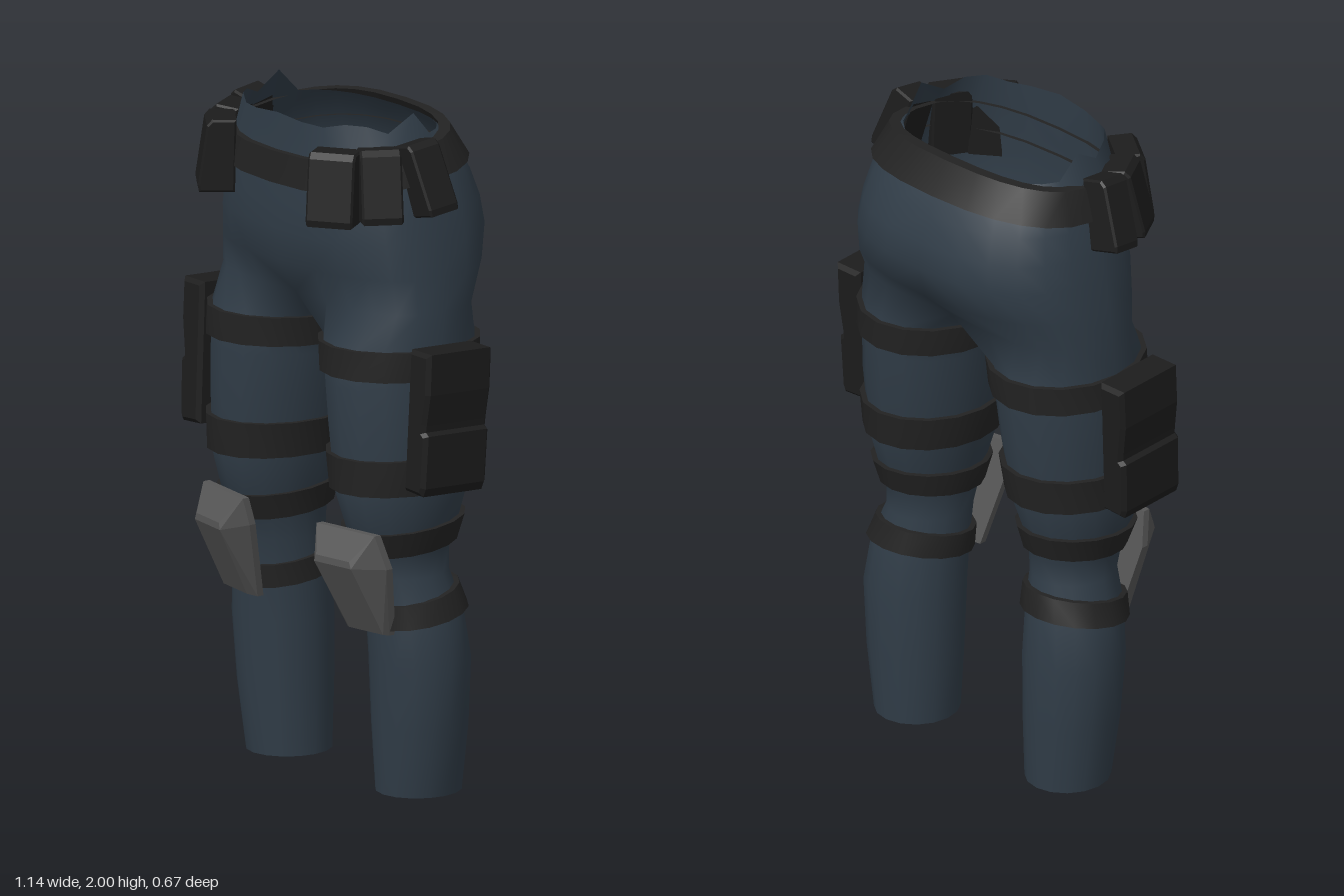
import * as THREE from 'three';
import { mergeVertices, toCreasedNormals } from 'three/addons/utils/BufferGeometryUtils.js';
import { ConvexGeometry } from 'three/addons/geometries/ConvexGeometry.js';

const N = 16; // points around a leg
const H = 12; // of those, steps from front centre around the outside to back centre

// Profiles, top to bottom. Hips: y, half width, front z, back z
const HIPS = [
  [1.96, 0.31, 0.25, -0.19], [1.88, 0.355, 0.252, -0.245], [1.8, 0.385, 0.258, -0.29],
  [1.72, 0.405, 0.26, -0.322], [1.64, 0.422, 0.26, -0.332], [1.54, 0.438, 0.245, -0.305], [1.44, 0.45, 0.235, -0.25],
];
// Leg: y, outer x, inner x, front z, back z
const LEG = [
  [1.34, 0.456, 0.055, 0.24, -0.222], [1.22, 0.46, 0.068, 0.242, -0.215], [1.1, 0.46, 0.085, 0.24, -0.208],
  [0.9, 0.45, 0.115, 0.228, -0.182], [0.8, 0.43, 0.145, 0.2, -0.15], [0.72, 0.405, 0.16, 0.165, -0.125],
  [0.65, 0.405, 0.165, 0.14, -0.12], [0.55, 0.445, 0.165, 0.135, -0.148], [0.4, 0.466, 0.165, 0.127, -0.165],
  [0.2, 0.45, 0.17, 0.117, -0.164], [0, 0.42, 0.178, 0.1, -0.155],
];

function sample(rows, y) {
  let k = 0;
  while (k < rows.length - 2 && y < rows[k + 1][0]) k++;
  const a = rows[k], b = rows[k + 1];
  const t = THREE.MathUtils.clamp((a[0] - y) / (a[0] - b[0]), 0, 1);
  return a.map((v, j) => v + (b[j] - v) * t);
}

function hipPoint(y, i, off = 0) {
  const p = (i / H) * Math.PI, [, rx, zf, zb] = sample(HIPS, y);
  const s = Math.pow(Math.max(0, Math.sin(p)), 0.8), c = Math.cos(p);
  const cz = Math.pow(Math.abs(c), 0.8);
  return new THREE.Vector3((rx + off) * s, y, c > 0 ? (zf + off) * cz : (zb - off) * cz);
}

const legAngle = (i) => -Math.PI / 4 + (i / N) * Math.PI * 2;
function legPoint(y, i, off = 0) {
  const a = legAngle(i), [, xo, xi, zf, zb] = sample(LEG, y);
  return new THREE.Vector3((xo + xi) / 2 + ((xo - xi) / 2 + off) * Math.sin(a), y,
    (zf + zb) / 2 + ((zf - zb) / 2 + off) * Math.cos(a));
}

// Skin over a list of point rings
function skin(rings) {
  const pos = [], put = (...ps) => ps.forEach((p) => pos.push(p.x, p.y, p.z));
  for (let r = 0; r + 1 < rings.length; r++) {
    const A = rings[r], B = rings[r + 1];
    for (let i = 0; i + 1 < Math.min(A.length, B.length); i++) put(A[i], B[i], A[i + 1], A[i + 1], B[i], B[i + 1]);
  }
  const g = new THREE.BufferGeometry();
  g.setAttribute('position', new THREE.Float32BufferAttribute(pos, 3));
  return g;
}

// Copy reflected in x, with the corner order restored
function mirrored(geo) {
  const g = geo.index ? geo.toNonIndexed() : geo.clone();
  g.scale(-1, 1, 1);
  for (const attr of Object.values(g.attributes)) {
    const a = attr.array, n = attr.itemSize;
    for (let t = 0; t < a.length; t += 3 * n)
      for (let k = 0; k < n; k++) [a[t + n + k], a[t + 2 * n + k]] = [a[t + 2 * n + k], a[t + n + k]];
  }
  return g;
}

const steps = (n) => Array.from({ length: n + 1 }, (_, i) => i);

// Flat band: point(y, i, offset) on the surface, mid(i) its centre height
function band(count, point, mid, half, thick) {
  const edge = [[half, -0.012], [half, thick], [-half, thick], [-half, -0.012]];
  const g = skin(edge.map(([dy, off]) => steps(count).map((i) => point(mid(i) + dy, i, off))));
  return toCreasedNormals(g, 0.6);
}

function trouserGeometry() {
  const rim = [1.98, 1.97, 1.966, 1.98, 1.975, 1.95, 2.0, 1.93, 1.93, 1.93, 1.93, 1.93, 1.93];
  const hips = HIPS.slice(0, -1).map((row, r) => steps(H).map((i) => {
    const p = hipPoint(row[0], i);
    if (r === 0) p.y = rim[i];
    return p;
  }));
  // Crotch ring: outer half continues the hips, inner points dip along the centre line
  const crotch = steps(H).map((i) => {
    const p = hipPoint(1.44, i);
    p.z *= 0.78 + 0.22 * Math.sin((i / H) * Math.PI);
    return p;
  });
  const zf = crotch[0].z, zb = crotch[H].z;
  for (let i = H + 1; i <= N; i++) {
    const t = (i - H) / (N - H);
    crotch.push(new THREE.Vector3(0, 1.44 - 0.065 * Math.sin(t * Math.PI), zb + (zf - zb) * t));
  }
  const legs = LEG.map((row) => steps(N).map((i) => legPoint(row[0], i)));
  const half = skin([...hips, crotch, ...legs]);
  const both = new Float32Array([...half.attributes.position.array, ...mirrored(half).attributes.position.array]);
  const g = new THREE.BufferGeometry();
  g.setAttribute('position', new THREE.BufferAttribute(both, 3));
  const welded = mergeVertices(g, 1e-4);
  welded.computeVertexNormals();
  return welded;
}

// Side profile extruded along z, centred, with chamfered edges
function block(points, width, bevel) {
  const g = new THREE.ExtrudeGeometry(new THREE.Shape(points.map((p) => new THREE.Vector2(...p))), {
    depth: width - 2 * bevel, bevelEnabled: true, bevelSize: bevel, bevelThickness: bevel, bevelOffset: -bevel, bevelSegments: 1,
  });
  return g.translate(0, 0, -width / 2 + bevel);
}

export function createModel() {
  const model = new THREE.Group();
  const paint = (name, color, side = THREE.FrontSide) => {
    const m = new THREE.MeshStandardMaterial({ color, side });
    m.name = name;
    return m;
  };
  const cloth = paint('slate cloth', 0x303c47, THREE.DoubleSide);
  const webbing = paint('black webbing', 0x222222, THREE.DoubleSide);
  const pouchBlack = paint('pouch black', 0x1c1c1c);
  const grey = paint('grey plate', 0x555555);

  const add = (name, geo, mat) => {
    const m = new THREE.Mesh(geo, mat);
    m.name = name;
    model.add(m);
  };
  const addPair = (name, geo, mat) => {
    add(name + 'Left', geo, mat);
    add(name + 'Right', mirrored(geo), mat);
  };

  add('trousers', trouserGeometry(), cloth);

  // Belt, higher at the back
  const beltPoint = (y, i, off) => {
    const p = hipPoint(y, i <= H ? i : 2 * H - i, off);
    if (i > H) p.x = -p.x;
    return p;
  };
  add('belt', band(2 * H, beltPoint, (i) => 1.863 - 0.038 * Math.cos((i / H) * Math.PI), 0.046, 0.02), webbing);

  // Leg straps: front height, back height, half width
  const straps = { upperThighStrap: [1.295, 1.29, 0.043], lowerThighStrap: [0.962, 0.972, 0.052],
    upperKneeStrap: [0.75, 0.785, 0.037], lowerKneeStrap: [0.535, 0.588, 0.034] };
  for (const [name, [yf, yb, half]] of Object.entries(straps)) {
    const mid = (i) => yf + (yb - yf) * (1 - Math.cos(legAngle(i))) / 2;
    addPair(name, band(N, legPoint, mid, half, 0.016), webbing);
  }

  // Belt pouches: x, y, z, facing angle from the front, outward lean, roll
  const pouchProfile = [[-0.045, -0.105], [0.058, -0.105], [0.062, -0.085], [0.04, 0.09], [0.025, 0.108], [-0.045, 0.108]];
  const pouches = [[0.268, 1.81, 0.252, 35, 0.02, 0, 0.14], [0.352, 1.817, 0.155, 60, 0.12, 0, 0.12], [0.405, 1.832, 0.03, 87, 0.24, 0.13, 0.1]];
  pouches.forEach(([x, y, z, yaw, lean, roll, width], k) => {
    const g = block(pouchProfile, width, 0.006);
    g.rotateZ(lean).rotateY(THREE.MathUtils.degToRad(yaw - 90)).rotateX(roll).translate(x, y, z);
    addPair('beltPouch' + (k + 1), g, pouchBlack);
  });

  // Thigh holsters with a notch between flap and pocket
  const holster = block([[-0.05, -0.205], [0.03, -0.21], [0.04, -0.185], [0.045, -0.03], [0.032, -0.02],
    [0.034, 0.0], [0.047, 0.09], [0.047, 0.21], [-0.045, 0.21]], 0.235, 0.012);
  holster.rotateX(-0.045).translate(0.523, 1.145, 0.04);
  addPair('thighHolster', holster, pouchBlack);

  // Knee pads: hexagonal back edge and a raised front face
  const turn = (x, z) => z - 0.15 * (x - 0.285);
  const rim = [[0.395, 0.8], [0.17, 0.8], [0.163, 0.72], [0.208, 0.49], [0.37, 0.49], [0.415, 0.7]];
  const face = [[0.225, 0.725, 0.277], [0.352, 0.725, 0.277], [0.36, 0.705, 0.278], [0.218, 0.705, 0.278], [0.236, 0.495, 0.168], [0.368, 0.495, 0.168]];
  const padPoints = [
    ...rim.flatMap(([x, y]) => [0, 0.022].map((d) => new THREE.Vector3(x, y, turn(x, 0.125 + (y - 0.49) * 0.25 + d)))),
    ...face.map(([x, y, z]) => new THREE.Vector3(x, y, turn(x, z))),
  ];
  addPair('kneePad', new ConvexGeometry(padPoints), grey);

  return model;
}
